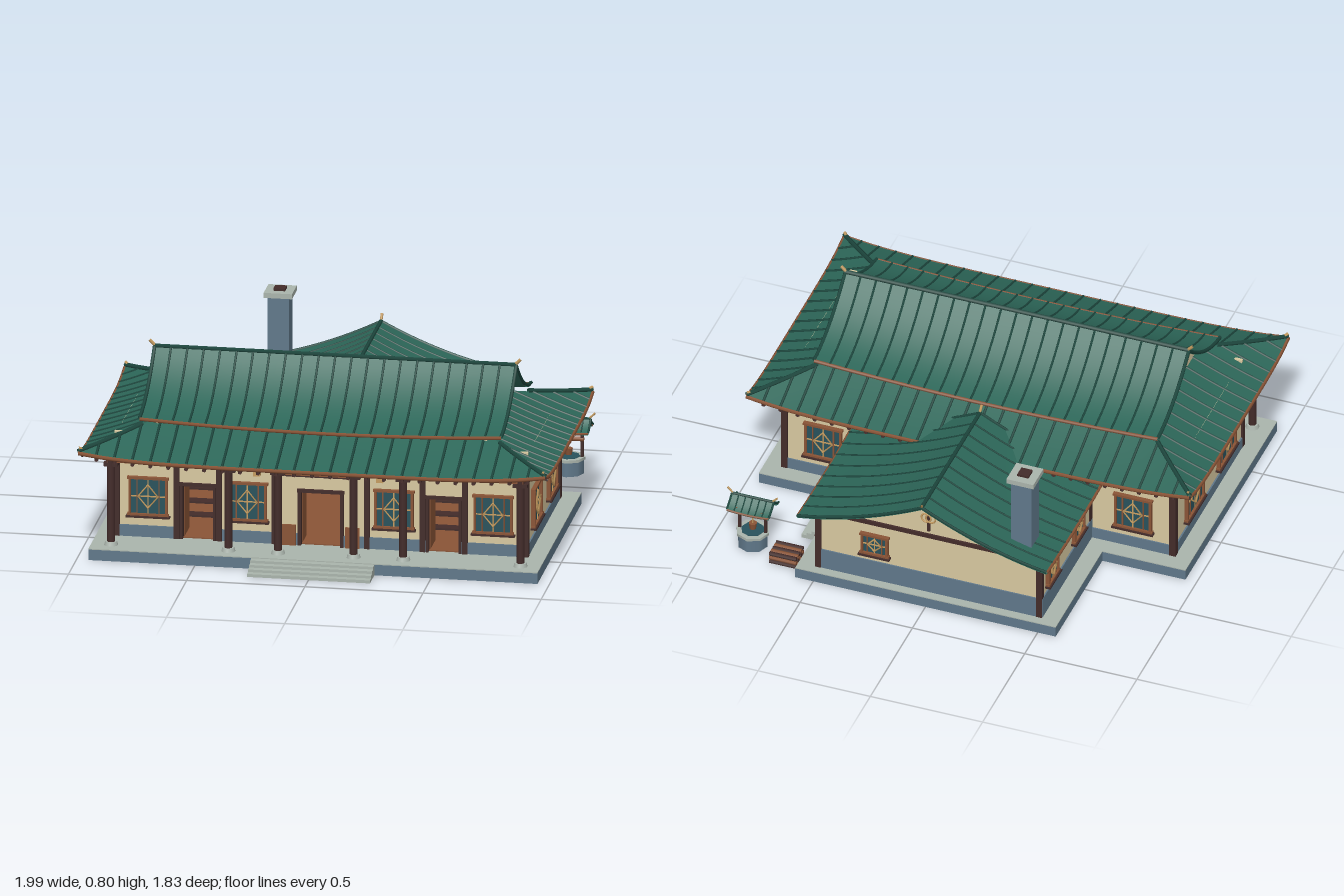
import * as THREE from 'three';

const mat = (name, color, side = THREE.FrontSide) => {
  const m = new THREE.MeshStandardMaterial({ color, side });
  m.name = name;
  return m;
};
const M = {
  tile: mat('green roof tile', 0x2c6658, THREE.DoubleSide),
  rib: mat('dark green rib', 0x1d473e, THREE.DoubleSide),
  plaster: mat('cream plaster', 0xd8c8a0, THREE.DoubleSide),
  stone: mat('blue grey stone', 0x60788a),
  paving: mat('pale stone', 0xaab4ac),
  dark: mat('dark timber', 0x432c2a, THREE.DoubleSide),
  trim: mat('russet trim', 0x8a5436),
  gold: mat('gold wood', 0xc59c60),
  pane: mat('teal pane', 0x28525c),
};
const lerp = THREE.MathUtils.lerp;
const V = (x, y, z) => new THREE.Vector3(x, y, z);

function add(p, name, geo, m, x = 0, y = 0, z = 0) {
  const mesh = new THREE.Mesh(geo, m);
  mesh.name = name;
  mesh.position.set(x, y, z);
  p.add(mesh);
  return mesh;
}
const box = (p, name, m, w, h, d, x, y, z) => add(p, name, new THREE.BoxGeometry(w, h, d), m, x, y, z);
// box given by its lower and upper corners
const span = (p, name, m, x0, x1, y0, y1, z0, z1) =>
  box(p, name, m, x1 - x0, y1 - y0, z1 - z0, (x0 + x1) / 2, (y0 + y1) / 2, (z0 + z1) / 2);
const cyl = (p, name, m, r, h, x, y, z, n = 10, r2 = r) => add(p, name, new THREE.CylinderGeometry(r, r2, h, n), m, x, y, z);
const group = (p, name, x = 0, y = 0, z = 0, ry = 0) => {
  const g = new THREE.Group();
  g.name = name;
  g.position.set(x, y, z);
  g.rotation.y = ry;
  p.add(g);
  return g;
};
// curved sheet from a rule f(u, v), u and v in 0..1
function sheet(p, name, f, nu, nv, m) {
  const geo = new THREE.PlaneGeometry(1, 1, nu, nv), a = geo.attributes.position;
  for (let i = 0; i < a.count; i++) {
    const q = f(a.getX(i) + 0.5, a.getY(i) + 0.5);
    a.setXYZ(i, q.x, q.y, q.z);
  }
  geo.computeVertexNormals();
  return add(p, name, geo, m);
}
// round bar following a rule f(t), t in 0..1
function bar(p, name, f, r, m, n = 8) {
  const pts = Array.from({ length: n + 1 }, (_, i) => f(i / n));
  return add(p, name, new THREE.TubeGeometry(new THREE.CatmullRomCurve3(pts), n * 2, r, 5), m);
}

// saddle roof with its ridge along local x; drop(t) gives the height from ridge to eave
function saddleRoof(p, name, x0, x1, half, drop, sag, pitch, r) {
  const g = group(p, name);
  const at = (u, v) => {
    const s = 2 * u - 1;
    return V(lerp(x0, x1, u), drop(Math.abs(v)) - sag * (1 - s * s) * Math.abs(v), v * half);
  };
  for (const k of [-1, 1]) {
    sheet(g, 'roofSlope', (u, v) => at(u, k * v), 24, 10, M.tile);
    sheet(g, 'roofUnderside', (u, v) => at(u, k * v).add(V(0, -0.012, 0)), 24, 10, M.tile);
    bar(g, 'eaveTrim', (t) => at(t, k).add(V(0, -0.005, 0)), r, M.trim, 12);
    const n = Math.round((x1 - x0) / pitch);
    for (let i = 0; i <= n; i++) bar(g, 'tileRib', (t) => at(i / n, k * t), r * 0.65, M.rib, 5);
    for (const u of [0, 1]) bar(g, 'bargeBoard', (t) => at(u, k * t), r, M.rib);
  }
  bar(g, 'ridge', (t) => at(t, 0).add(V(0, r * 0.4, 0)), r * 1.2, M.rib, 4);
  for (const [x, k] of [[x0, -1], [x1, 1]])
    bar(g, 'ridgeHorn', (t) => V(x + k * (0.028 * t - 0.008), drop(0) + 0.028 * t, 0), r * 0.9, M.gold, 2);
  return g;
}
// wall filling the end of a saddle roof, in the local xy plane
function gableWall(p, half, end, base, drop, z) {
  const s = new THREE.Shape();
  s.moveTo(-end, base);
  for (let i = -10; i <= 10; i++) s.lineTo((i / 10) * end, drop((Math.abs(i) / 10) * end / half) - 0.014);
  s.lineTo(end, base);
  return add(p, 'gableWall', new THREE.ExtrudeGeometry(s, { depth: 0.02, bevelEnabled: false }), M.plaster, 0, 0, z);
}
function gableOrnament(p, y, top, z) {
  const g = group(p, 'gableOrnament', 0, 0, z);
  span(g, 'kingPost', M.dark, -0.006, 0.006, y - 0.07, top, -0.004, 0.004);
  for (const x of [-0.01, 0.01]) add(g, 'ring', new THREE.TorusGeometry(0.021, 0.004, 6, 18), M.gold, x, y, 0.006);
}
// lattice window facing local +z
function latticeWindow(p, w, h, x, y, z, ry) {
  const g = group(p, 'latticeWindow', x, y, z, ry);
  box(g, 'pane', M.pane, w, h, 0.008, 0, 0, 0.002);
  for (const k of [-1, 1]) {
    box(g, 'frameSide', M.trim, 0.01, h + 0.01, 0.02, k * w / 2, 0, 0.005);
    box(g, 'frameRail', M.trim, w + 0.02, 0.01, 0.022, 0, k * h / 2, 0.006);
    box(g, 'mullion', M.trim, 0.005, h, 0.01, k * w * 0.3, 0, 0.006);
  }
  box(g, 'crossRail', M.gold, w, 0.005, 0.01, 0, 0, 0.005);
  box(g, 'crossPost', M.gold, 0.005, h, 0.01, 0, 0, 0.005);
  const d = add(g, 'diamond', new THREE.TorusGeometry(h * 0.32, 0.005, 4, 4), M.gold, 0, 0, 0.011);
  d.scale.x = Math.min(1, (w / h) * 0.85);
  box(g, 'sill', M.dark, w + 0.03, 0.008, 0.03, 0, -h / 2 - 0.008, 0.008);
}

const hall = (t) => 0.77 - 0.345 * t + 0.15 * t * t;
const wing = (t) => 0.553 - 0.29 * t + 0.1 * t * t;
const ZC = 0.245;

function skirtRoof(root) {
  const g = group(root, 'skirtRoof', 0, 0, ZC);
  for (let k = 0; k < 4; k++) {
    const side = group(g, 'skirtSide', 0, 0, 0, k * Math.PI / 2);
    const [a0, d0] = k % 2 ? [0.585, 0.988] : [0.988, 0.585];
    const A = (t) => a0 - 0.29 * t;
    const at = (s, t) => V(s * A(t), 0.45 + 0.11 * (0.8 * t + 0.2 * t * t) + 0.033 * Math.abs(s) ** 5 * (1 - t), d0 - 0.29 * t);
    sheet(side, 'skirtTiles', (u, v) => at(2 * u - 1, v), 28, 6, M.tile);
    sheet(side, 'soffit', (u, v) => at(2 * u - 1, v).add(V(0, -0.014, 0)), 28, 6, M.dark);
    bar(side, 'eaveTrim', (t) => at(2 * t - 1, 0).add(V(0, -0.006, 0)), 0.009, M.trim, 20);
    bar(side, 'hipRidge', (t) => at(1, t * 0.8).add(V(0, 0.004, 0)), 0.01, M.rib);
    bar(side, 'hipTip', (t) => at(1, 0.04 - 0.04 * t).add(V(0, 0.008 + 0.008 * t, 0)), 0.007, M.gold, 2);
    const n = Math.round((2 * a0) / 0.075);
    for (let i = 1; i < n; i++) {
      const x = -a0 + (2 * a0 * i) / n, end = Math.min(1, (a0 - Math.abs(x)) / 0.29);
      bar(side, 'tileRib', (t) => at(x / A(t * end), t * end), 0.006, M.rib, 4);
      bar(side, 'rafter', (t) => at(x / A(t * end * 0.6), t * end * 0.6).add(V(0, -0.022, 0)), 0.009, M.dark, 2);
    }
  }
}

function mainHall(root) {
  const g = group(root, 'mainHall');
  // front wall with three doorways
  const s = new THREE.Shape();
  s.moveTo(-0.87, 0.05);
  for (const [x, w] of [[-0.52, 0.07], [0, 0.09], [0.52, 0.07]])
    [[x - w, 0.05], [x - w, 0.29], [x + w, 0.29], [x + w, 0.05]].forEach((q) => s.lineTo(...q));
  [[0.87, 0.05], [0.87, 0.49], [-0.87, 0.49]].forEach((q) => s.lineTo(...q));
  add(g, 'frontWall', new THREE.ExtrudeGeometry(s, { depth: 0.02, bevelEnabled: false }), M.plaster, 0, 0, 0.58);
  span(g, 'backWall', M.plaster, -0.87, 0.87, 0.05, 0.49, -0.21, -0.19);
  span(g, 'backPlinth', M.stone, -0.875, 0.875, 0.05, 0.1, -0.216, -0.2);
  span(g, 'floor', M.trim, -0.86, 0.86, 0.05, 0.055, -0.19, 0.59);
  span(g, 'innerDado', M.stone, -0.85, 0.85, 0.055, 0.14, -0.19, -0.184);
  span(g, 'counter', M.trim, 0.02, 0.3, 0.055, 0.1, 0.1, 0.2);
  for (const [a, b] of [[-0.875, -0.59], [-0.45, -0.09], [0.09, 0.45], [0.59, 0.875]])
    span(g, 'frontPlinth', M.stone, a, b, 0.05, 0.1, 0.585, 0.606);
  for (const k of [-1, 1]) {
    box(g, 'sideWall', M.plaster, 0.02, 0.44, 0.8, k * 0.86, 0.27, 0.195);
    box(g, 'sidePlinth', M.stone, 0.02, 0.05, 0.82, k * 0.867, 0.075, 0.195);
    box(g, 'sideBeam', M.dark, 0.02, 0.02, 0.82, k * 0.868, 0.425, 0.195);
    for (const z of [0.595, -0.205]) box(g, 'cornerPost', M.dark, 0.028, 0.38, 0.028, k * 0.865, 0.24, z);
    for (const z of [0.39, 0.01]) latticeWindow(g, 0.19, 0.16, k * 0.872, 0.225, z, k * Math.PI / 2);
    for (const x of [0.31, 0.73]) latticeWindow(g, 0.155, 0.16, k * x, 0.23, 0.602, 0);
    latticeWindow(g, 0.155, 0.16, k * 0.69, 0.23, -0.212, Math.PI);
    for (const x of [0.195, 0.43, 0.61]) box(g, 'wallPost', M.dark, 0.024, 0.37, 0.024, k * x, 0.235, 0.6);
    // side doorway with open leaf and shelves
    for (const x of [0.45, 0.59]) box(g, 'doorJamb', M.dark, 0.012, 0.24, 0.03, k * x, 0.17, 0.595);
    box(g, 'doorLintel', M.dark, 0.16, 0.014, 0.03, k * 0.52, 0.29, 0.595);
    span(g, 'doorLeaf', M.trim, k * 0.52 - 0.068, k * 0.52 - 0.06, 0.055, 0.28, 0.46, 0.58);
    for (const y of [0.1, 0.16, 0.22]) box(g, 'shelf', M.dark, 0.16, 0.008, 0.05, k * 0.52, y, 0.42);
    // centre doorway
    box(g, 'mainJamb', M.dark, 0.014, 0.24, 0.035, k * 0.09, 0.17, 0.595);
    box(g, 'mainLeaf', M.trim, 0.008, 0.23, 0.09, k * 0.085, 0.17, 0.535);
    box(g, 'lowPanel', M.trim, 0.06, 0.09, 0.008, k * 0.135, 0.095, 0.61);
    // hanging lantern
    box(g, 'lantern', M.gold, 0.028, 0.042, 0.028, k * 0.26, 0.385, 0.66);
    box(g, 'lanternCap', M.dark, 0.036, 0.008, 0.036, k * 0.26, 0.408, 0.66);
    cyl(g, 'lanternCord', M.dark, 0.003, 0.09, k * 0.26, 0.455, 0.66, 5);
    box(g, 'beamEnd', M.plaster, 0.07, 0.03, 0.014, k * 0.84, 0.49, 0.587);
    // porch columns
    for (const x of [0.16, 0.37, 0.866]) {
      cyl(g, 'porchColumn', M.dark, 0.017, 0.4, k * x, 0.25, 0.73);
      cyl(g, 'columnBase', M.paving, 0.025, 0.016, k * x, 0.058, 0.73, 10, 0.03);
      box(g, 'bracket', M.dark, 0.06, 0.016, 0.03, k * x, 0.405, 0.73);
      box(g, 'tieBeam', M.dark, 0.02, 0.022, 0.14, k * x, 0.42, 0.665);
    }
    // gable end above the skirt
    const end = group(g, 'gableEnd', 0, 0, ZC, k * Math.PI / 2);
    gableWall(end, 0.37, 0.34, 0.545, hall, 0.68);
    gableOrnament(end, 0.635, 0.75, 0.704);
  }
  box(g, 'mainLintel', M.dark, 0.2, 0.014, 0.035, 0, 0.29, 0.595);
  box(g, 'transom', M.dark, 0.3, 0.055, 0.02, 0, 0.38, 0.605);
  for (let i = 0; i < 3; i++) box(g, 'transomSlat', M.trim, 0.3, 0.006, 0.01, 0, 0.362 + i * 0.018, 0.613);
  for (const z of [0.6, -0.208]) box(g, 'wallBeam', M.dark, 1.74, 0.02, 0.024, 0, 0.425, z);
  box(g, 'porchBeam', M.trim, 1.76, 0.022, 0.024, 0, 0.425, 0.73);
  saddleRoof(g, 'mainRoof', -0.765, 0.765, 0.37, hall, 0.022, 0.07, 0.008).position.z = ZC;
}

function backWing(root) {
  const g = group(root, 'backWing');
  const end = group(g, 'wingGable', 0, 0, 0, Math.PI);
  gableWall(end, 0.555, 0.5, 0.05, wing, 0.78);
  gableOrnament(end, 0.44, 0.53, 0.804);
  box(end, 'gableBeam', M.dark, 1, 0.018, 0.02, 0, 0.345, 0.8);
  box(end, 'gablePlinth', M.stone, 1.01, 0.095, 0.02, 0, 0.0975, 0.796);
  latticeWindow(end, 0.11, 0.095, -0.24, 0.235, 0.802, 0);
  for (const k of [-1, 1]) {
    box(g, 'wingWall', M.plaster, 0.02, 0.31, 0.6, k * 0.49, 0.205, -0.49);
    box(g, 'wingPlinth', M.stone, 0.02, 0.095, 0.59, k * 0.496, 0.0975, -0.505);
    box(g, 'wingBeam', M.dark, 0.02, 0.02, 0.6, k * 0.497, 0.35, -0.5);
    for (const z of [-0.795, -0.222]) box(g, 'wingPost', M.dark, 0.026, 0.31, 0.026, k * 0.492, 0.205, z);
    latticeWindow(g, 0.11, 0.095, k * 0.502, 0.23, -0.69, k * Math.PI / 2);
  }
  latticeWindow(g, 0.11, 0.095, -0.502, 0.23, -0.38, -Math.PI / 2);
  // side door
  const door = group(g, 'sideDoor', 0.505, 0.05, -0.5, Math.PI / 2);
  box(door, 'doorPanel', M.trim, 0.13, 0.22, 0.01, 0, 0.11, 0);
  for (let i = 0; i < 5; i++) {
    box(door, 'doorStile', M.dark, 0.011, 0.22, 0.014, -0.06 + i * 0.03, 0.11, 0.003);
    box(door, 'doorRail', M.dark, 0.13, 0.012, 0.014, 0, 0.006 + i * 0.052, 0.003);
  }
  for (const k of [-1, 1]) box(door, 'doorJamb', M.dark, 0.014, 0.23, 0.03, k * 0.068, 0.115, 0);
  box(door, 'doorLintel', M.dark, 0.16, 0.014, 0.034, 0, 0.228, 0);
  const roof = saddleRoof(g, 'wingRoof', -0.347, 0.347, 0.555, wing, 0.012, 0.08, 0.007);
  roof.position.z = -0.543;
  roof.rotation.y = Math.PI / 2;
  // chimney
  box(g, 'chimney', M.stone, 0.09, 0.35, 0.09, -0.4, 0.53, -0.73);
  box(g, 'chimneyCap', M.paving, 0.12, 0.022, 0.12, -0.4, 0.713, -0.73);
  box(g, 'chimneyFlue', M.dark, 0.05, 0.012, 0.05, -0.4, 0.728, -0.73);
}

function yard(root) {
  const g = group(root, 'grounds');
  // terrace: stone blocks under pale paving
  for (const [x, z0, z1] of [[0.95, -0.29, 0.8], [0.58, -0.845, -0.29]]) {
    span(g, 'terrace', M.stone, -x, x, 0, 0.046, z0, z1);
    span(g, 'paving', M.paving, -x, x, 0.046, 0.05, z0, z1);
  }
  for (let i = 0; i < 4; i++) span(g, 'frontStep', M.paving, -0.26, 0.26, 0, 0.046 - i * 0.011, 0.8, 0.83 + i * 0.027);
  for (let i = 0; i < 3; i++) span(g, 'sideStep', M.paving, 0.58, 0.606 + i * 0.023, 0, 0.042 - i * 0.013, -0.58, -0.42);
  // firewood stack
  for (let r = 0; r < 3; r++) for (let i = 0; i < 5; i++)
    cyl(g, 'firewood', (r + i) % 2 ? M.trim : M.dark, 0.01, 0.12, 0.655, 0.011 + r * 0.019, -0.79 + i * 0.02, 7).rotation.z = Math.PI / 2;
  // well
  const w = group(g, 'well', 0.827, 0, -0.69);
  cyl(w, 'wellWall', M.stone, 0.065, 0.064, 0, 0.032, 0, 8);
  cyl(w, 'wellRim', M.paving, 0.072, 0.012, 0, 0.068, 0, 8);
  cyl(w, 'wellWater', M.pane, 0.05, 0.004, 0, 0.074, 0, 8);
  for (const k of [-1, 1]) {
    box(w, 'wellPost', M.dark, 0.012, 0.16, 0.012, k * 0.058, 0.145, 0);
    box(w, 'crossArm', M.trim, 0.012, 0.01, 0.09, k * 0.058, 0.2, 0);
  }
  cyl(w, 'windlass', M.trim, 0.01, 0.13, 0, 0.15, 0, 8).rotation.z = Math.PI / 2;
  cyl(w, 'rope', M.gold, 0.003, 0.05, 0, 0.125, 0, 5);
  cyl(w, 'bucket', M.trim, 0.018, 0.028, 0, 0.095, 0, 8, 0.014);
  saddleRoof(w, 'wellRoof', -0.093, 0.093, 0.06, (t) => 0.24 - 0.06 * t + 0.02 * t * t, 0.006, 0.03, 0.005);
}

export function createModel() {
  const root = new THREE.Group();
  root.name = 'courtyardHouse';
  yard(root);
  mainHall(root);
  skirtRoof(root);
  backWing(root);
  return root;
}
